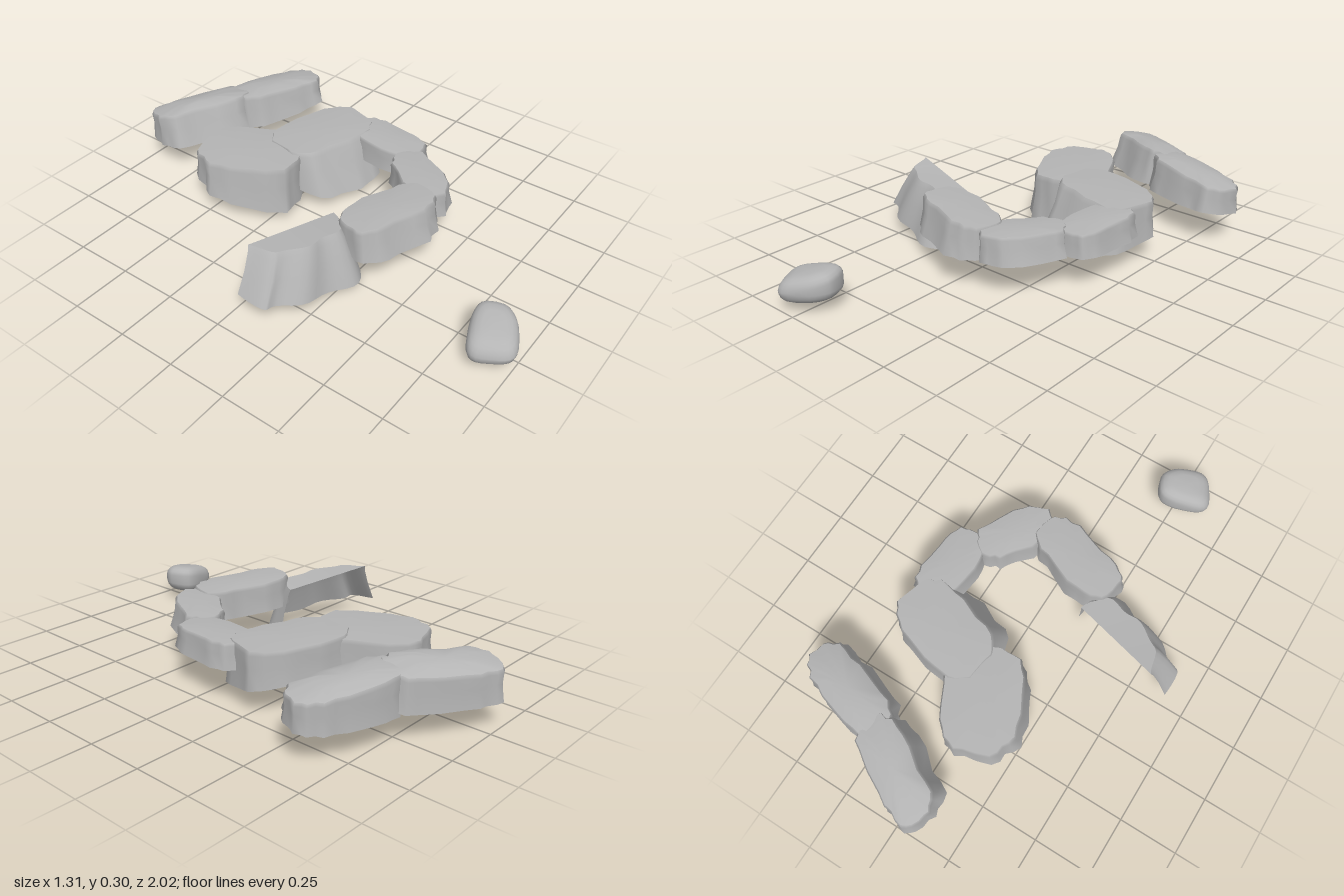
import * as THREE from 'three';

const stone = new THREE.MeshStandardMaterial({ color: 0xb4b4b4, side: THREE.DoubleSide });
stone.name = 'grey stone';

// Small repeatable noise in -1..1
function makeNoise(seed) {
  let s = seed * 7919;
  return () => ((s = (s * 16807) % 2147483647) / 2147483647) * 2 - 1;
}

function centreOf(ring) {
  return ring.reduce((c, p) => c.add(p), new THREE.Vector3()).divideScalar(ring.length);
}

// Surface through rings of equal length, with optional fan caps
function skin(name, rings, closed, capTop = false, capBottom = false) {
  const n = rings[0].length, points = rings.flat(), index = [];
  for (let r = 0; r < rings.length - 1; r++) {
    for (let i = 0; i < (closed ? n : n - 1); i++) {
      const j = (i + 1) % n, a = r * n, b = a + n;
      index.push(a + i, a + j, b + i, a + j, b + j, b + i);
    }
  }
  const cap = (ring, start, up) => {
    const c = points.push(centreOf(ring)) - 1;
    for (let i = 0; i < n; i++) {
      const j = (i + 1) % n;
      index.push(c, start + (up ? j : i), start + (up ? i : j));
    }
  };
  if (capTop) cap(rings[0], 0, true);
  if (capBottom) cap(rings.at(-1), (rings.length - 1) * n, false);
  const geometry = new THREE.BufferGeometry().setFromPoints(points);
  geometry.setIndex(index);
  geometry.computeVertexNormals();
  const m = new THREE.Mesh(geometry, stone);
  m.name = name;
  return m;
}

const soft = (w, power) => Math.sign(w) * Math.abs(w) ** power;

// Rounded-box outline on the ground: half length a, half width b, turned by angle
function outlinePoint(t, a, b, angle) {
  const u = a * soft(Math.cos(t), 0.68), v = b * soft(Math.sin(t), 0.68);
  const c = Math.cos(angle), s = Math.sin(angle);
  return [u * c - v * s, u * s + v * c];
}

// Rock slab, open below; the foot of one long side spreads by flare
function slab({ name, at, half, angle, flare, top, base, tilt = [0, 0], lift = 0, dome = 0.005 }, id) {
  const noise = makeNoise(id + 3), count = 30;
  const chips = Array.from({ length: count }, (_, i) => (i % 2 ? 0.3 : 1) * noise());
  const ring = (drop, bulge) => chips.map((chip, i) => {
    const t = (i / count) * Math.PI * 2;
    const spread = bulge + chip * (0.012 + 0.008 * drop);
    const side = Math.max(0, Math.sin(t)) * flare * drop;
    const [x, z] = outlinePoint(t, half[0] + spread, half[1] + spread + side, angle);
    const high = top + tilt[0] * x + tilt[1] * z, low = base + lift * z + chip * 0.006;
    return new THREE.Vector3(at[0] + x, THREE.MathUtils.lerp(high, low, drop), at[1] + z);
  });
  const rim = ring(0, -0.006), middle = centreOf(rim);
  const crown = rim.map(p => {
    const q = p.clone().lerp(middle, 0.45);
    q.y += dome;
    return q;
  });
  const g = new THREE.Group();
  g.name = name;
  g.add(skin(name + 'Top', [crown, rim], true, true));
  g.add(skin(name + 'Wall', [rim, ring(0.1, 0), ring(0.45, -0.004), ring(1, 0.003)], true));
  return g;
}

// tilt slopes the top along x and z, lift slopes the foot along z
const slabs = [
  { name: 'rearLeftSlab', at: [0.085, -0.84], half: [0.225, 0.095], angle: 0.52, flare: 0.05, top: 0.268, base: 0.125, tilt: [-0.04, 0.2], lift: 0.08, dome: 0.018 },
  { name: 'rearRightSlab', at: [0.42, -0.67], half: [0.228, 0.098], angle: 0.32, flare: 0.03, top: 0.265, base: 0.13, tilt: [-0.1, 0.05], lift: 0.12, dome: 0.018 },
  { name: 'innerLeftSlab', at: [-0.045, -0.42], half: [0.225, 0.16], angle: 1.12, flare: 0.02, top: 0.25, base: 0.085, lift: -0.2 },
  { name: 'innerRightSlab', at: [0.24, -0.255], half: [0.225, 0.14], angle: 0.33, flare: 0.09, top: 0.26, base: 0.1, lift: -0.2 },
  { name: 'arcRightStone', at: [0.378, 0], half: [0.175, 0.092], angle: -1.5, flare: 0.01, top: 0.25, base: 0.148, tilt: [0, -0.03] },
  { name: 'arcCentreStone', at: [0.228, 0.26], half: [0.17, 0.088], angle: -1, flare: 0.02, top: 0.255, base: 0.145, tilt: [0, 0.02] },
  { name: 'arcFrontStone', at: [-0.06, 0.295], half: [0.212, 0.1], angle: 0.28, flare: 0.035, top: 0.272, base: 0.14, tilt: [-0.03, 0], lift: -0.04 },
];

// Open-backed front slab: a top sheet and one hanging, scalloped rock face
function frontLeftSlab() {
  const steps = 28;
  const line = (points, wave) => {
    const curve = new THREE.CatmullRomCurve3(points.map(p => new THREE.Vector3(...p)));
    return curve.getPoints(steps).map((p, i) => {
      p.z += wave * Math.sin((i / steps) * Math.PI * 8);
      return p;
    });
  };
  const back = line([[-0.18, 0.235, 0.12], [-0.565, 0.275, 0.01]], 0);
  const rim = line([[-0.18, 0.235, 0.12], [-0.24, 0.245, 0.2], [-0.38, 0.255, 0.19], [-0.52, 0.265, 0.12], [-0.565, 0.275, 0.01]], 0.008);
  const foot = line([[-0.16, 0.005, 0.16], [-0.21, 0.025, 0.29], [-0.37, 0.042, 0.28], [-0.55, 0.065, 0.2], [-0.645, 0.08, 0.13], [-0.65, 0.095, 0.02]], 0.015);
  const between = (t, bulge) => rim.map((p, i) => {
    const q = p.clone().lerp(foot[i], t);
    q.z += bulge;
    return q;
  });
  const g = new THREE.Group();
  g.name = 'frontLeftSlab';
  g.add(skin('frontLeftTop', [back, rim], false));
  g.add(skin('frontLeftWall', [rim, between(0.12, 0.006), between(0.5, 0.008), foot], false));
  return g;
}

// Smooth loose boulder with a flatter foot, higher towards its left side
function boulder() {
  const count = 28, levels = 11, rings = [];
  for (let k = 1; k < levels; k++) {
    const lat = Math.PI * (0.5 - k / levels), size = Math.cos(lat) ** 0.6;
    const slope = lat > 0 ? 0.2 : 0.1;
    rings.push(Array.from({ length: count }, (_, i) => {
      const t = (i / count) * Math.PI * 2, lump = 1 + 0.06 * Math.sin(3 * t + 2);
      const [x, z] = outlinePoint(t, 0.116 * size * lump, 0.092 * size * lump, -0.45);
      const y = 0.098 + 0.06 * soft(Math.sin(lat), 0.8) + slope * x - (lat > 0 ? 0.12 * z : 0);
      return new THREE.Vector3(-0.27 + x, y, 0.895 + z);
    }));
  }
  return skin('boulder', rings, true, true, true);
}

export function createModel() {
  const model = new THREE.Group();
  model.name = 'rockLedges';
  slabs.forEach((s, i) => model.add(slab(s, i)));
  model.add(frontLeftSlab(), boulder());
  return model;
}
